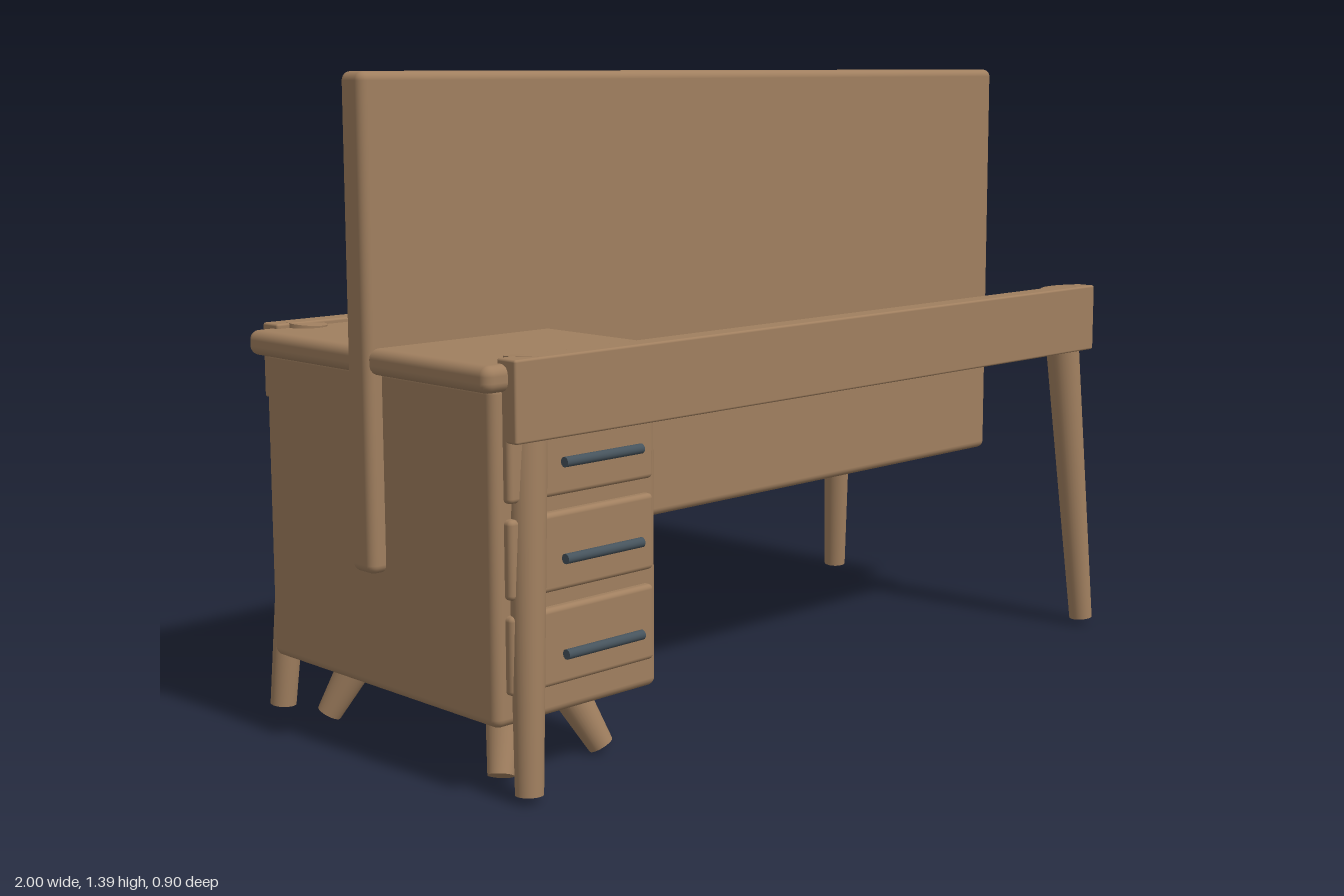
import * as THREE from 'three';
import { RoundedBoxGeometry } from 'three/addons/geometries/RoundedBoxGeometry.js';

const wood = new THREE.MeshStandardMaterial({ color: 0xa07f5f });
wood.name = 'wood';
const metal = new THREE.MeshStandardMaterial({ color: 0x46535c });
metal.name = 'dark metal';

const MID_Z = -0.007; // the desk's own centre line
const CABINET_X = -0.752;

// Rounded box given by its min and max on each axis
function slab(name, [x0, x1], [y0, y1], [z0, z1], radius) {
  const mesh = new THREE.Mesh(new RoundedBoxGeometry(x1 - x0, y1 - y0, z1 - z0, 3, radius), wood);
  mesh.position.set((x0 + x1) / 2, (y0 + y1) / 2, (z0 + z1) / 2);
  mesh.name = name;
  return mesh;
}

// Tapered round rod running between two points
function rod(name, bottom, top, rBottom, rTop, material) {
  const a = new THREE.Vector3(...bottom);
  const b = new THREE.Vector3(...top);
  const axis = b.clone().sub(a);
  const mesh = new THREE.Mesh(new THREE.CylinderGeometry(rTop, rBottom, axis.length(), 32), material);
  mesh.position.copy(a).add(b).multiplyScalar(0.5);
  mesh.quaternion.setFromUnitVectors(new THREE.Vector3(0, 1, 0), axis.normalize());
  mesh.name = name;
  return mesh;
}

export function createModel() {
  const model = new THREE.Group();
  model.name = 'desk';

  // Upright board through the middle
  model.add(slab('board', [-1, 1], [0.395, 1.39], [-0.042, 0.03], 0.018));

  // Front and back rails with splayed legs
  for (const sz of [1, -1]) {
    const end = sz > 0 ? 'front' : 'back';
    const z = MID_Z + sz * 0.388;
    model.add(slab(end + 'Rail', [-0.94, 0.934], [0.70, 0.86], [z - 0.027, z + 0.027], 0.005));
    for (const sx of [1, -1]) {
      model.add(rod(end + (sx > 0 ? 'Left' : 'Right') + 'Leg',
        [-0.003 + sx * 0.915, 0.017, MID_Z + sz * 0.414],
        [-0.003 + sx * 0.863, 0.857, MID_Z + sz * 0.359], 0.028, 0.043, wood));
    }
  }

  // Drawer cabinet
  const cabinet = new THREE.Group();
  cabinet.name = 'drawerCabinet';
  cabinet.add(slab('cabinetBody', [-0.965, -0.539], [0.145, 0.81], [-0.382, 0.369], 0.018));
  cabinet.add(slab('cabinetTop', [-0.992, -0.513], [0.797, 0.85], [-0.405, 0.387], 0.02));

  // Drawer fronts and bar handles
  for (let i = 0; i < 3; i++) {
    const y = 0.287 + i * 0.187;
    cabinet.add(slab('drawerFront', [-0.94, -0.565], [y - 0.078, y + 0.078], [0.35, 0.387], 0.01));
    cabinet.add(rod('handle', [-0.85, y, 0.441], [-0.65, y, 0.441], 0.01, 0.01, metal));
  }

  // Splayed cabinet feet
  for (const sx of [1, -1]) {
    for (const sz of [1, -1]) {
      cabinet.add(rod('cabinetFoot',
        [CABINET_X + sx * 0.133, 0.016, MID_Z + sz * 0.289],
        [CABINET_X + sx * 0.073, 0.16, MID_Z + sz * 0.235], 0.027, 0.042, wood));
    }
  }
  model.add(cabinet);

  return model;
}
